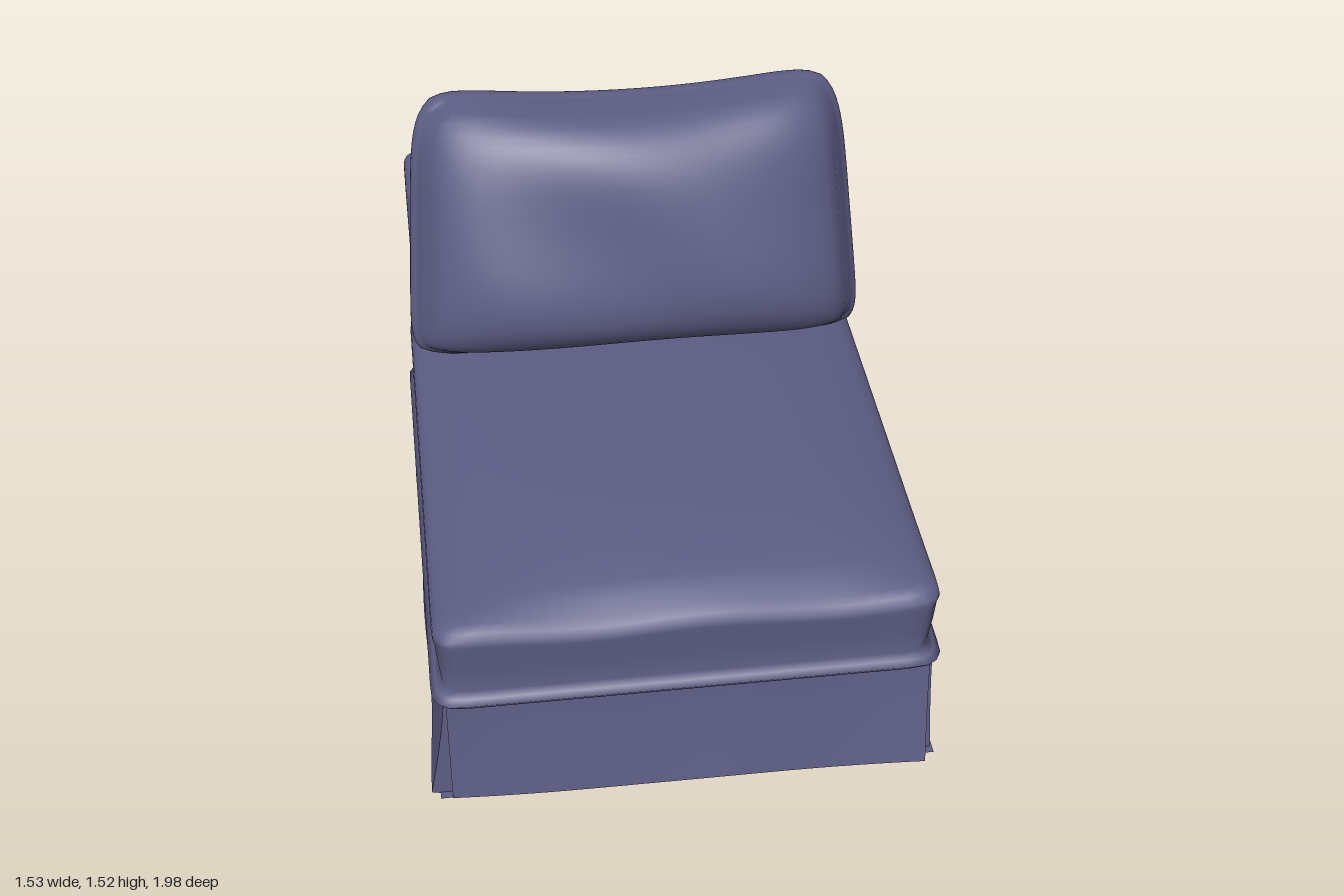
import * as THREE from 'three';
import { mergeVertices } from 'three/addons/utils/BufferGeometryUtils.js';
import { RoundedBoxGeometry } from 'three/addons/geometries/RoundedBoxGeometry.js';

const fabric = new THREE.MeshStandardMaterial({ color: 0x5e5e86 });

// Unit box (-1..1) reshaped by a rule; smooth boxes share vertices across all edges.
function shapedBox(name, segments, rule, smooth = true) {
  let geo = new THREE.BoxGeometry(2, 2, 2, ...segments);
  if (smooth) {
    geo.deleteAttribute('uv');
    geo.deleteAttribute('normal');
    geo = mergeVertices(geo);
  }
  const pos = geo.attributes.position;
  for (let i = 0; i < pos.count; i++) {
    pos.setXYZ(i, ...rule(pos.getX(i), pos.getY(i), pos.getZ(i)));
  }
  geo.computeVertexNormals();
  const mesh = new THREE.Mesh(geo, fabric);
  mesh.name = name;
  return mesh;
}

// Rounds the corner of a rectangle with half sizes hx, hz.
function roundCorner(a, b, hx, hz, r) {
  const x = a * hx, z = b * hz;
  const cx = THREE.MathUtils.clamp(x, r - hx, hx - r);
  const cz = THREE.MathUtils.clamp(z, r - hz, hz - r);
  const dx = x - cx, dz = z - cz, len = Math.hypot(dx, dz);
  const k = len > 0 ? Math.max(Math.abs(dx), Math.abs(dz)) / len : 1;
  return [cx + dx * k, cz + dz * k];
}

// Seat cushion: side profile as [inset, height] from bottom to top, with a soft crown.
function makeSeatCushion() {
  const profile = [
    [0.04, 0.395], [0.0, 0.405], [-0.015, 0.425], [0.0, 0.44], [0.018, 0.455], [0.01, 0.54],
    [0.005, 0.61], [0.0, 0.632], [0.003, 0.65], [0.018, 0.668], [0.045, 0.68],
  ];
  const levels = profile.length - 1;
  return shapedBox('seatCushion', [32, levels, 32], (a, t, b) => {
    const [inset, level] = profile[Math.round((t + 1) / 2 * levels)];
    const [x, z] = roundCorner(a, b, 0.725 - inset, 0.815 - inset, 0.07);
    let y = level;
    if (t > 0.99) y += 0.07 * (1 - Math.abs(a) ** 3.5) * Math.sqrt(1 - Math.abs(b) ** 3);
    if (t > 0) y += 0.008 * Math.sin(x * 9 + 1) * Math.max(0, b) ** 4;
    return [x - 0.005, y, z + 0.155];
  });
}

// Back pillow: thick in the middle, thin at the seams, with pulled corners.
function makePillow() {
  const pillow = shapedBox('backPillow', [36, 30, 8], (u, v, w) => {
    const puff = Math.sqrt((1 - Math.abs(u) ** 3.2) * (1 - Math.abs(v) ** 4));
    const half = 0.045 + 0.235 * puff;
    const halfWidth = 0.705 - 0.03 * v - 0.03 * Math.max(0, v) ** 4;
    const round = 1 - 0.035 * w * w;
    const x = u * halfWidth * round * (1 - 0.045 * v ** 8);
    let y = v * 0.41 * round;
    y += v > 0 ? 0.045 * v * v * u * u : -0.015 * v * v * u * u;
    y -= 0.035 * Math.abs(u) ** 12 * v ** 5;
    return [x, y, w * half + 0.012 * Math.sin(u * 5 + v * 3) * puff];
  });
  pillow.position.set(0, 1.1, -0.455);
  pillow.rotation.x = -0.29;
  return pillow;
}

// Skirt panel: flares outward towards a wavy hem; skew makes one end flare more.
function makeSkirtPanel(name, halfLength, distance, angle, skew) {
  const panel = shapedBox(name, [24, 8, 1], (a, t, side) => {
    const drop = (1 - t) / 2;
    const wave = 0.004 * Math.sin(a * 8 + skew * 30);
    const flare = drop ** 1.3 * (0.038 + skew * a ** 3 + wave);
    const hem = side > 0 ? 0.028 + wave : 0.004;
    const out = side > 0 ? flare : -0.05;
    return [a * halfLength, THREE.MathUtils.lerp(0.4, hem, drop), distance + out];
  }, false);
  panel.rotation.y = angle;
  return panel;
}

export function createModel() {
  const model = new THREE.Group();
  const add = (name, geometry, x, y, z) => {
    const mesh = new THREE.Mesh(geometry, fabric);
    mesh.name = name;
    mesh.position.set(x, y, z);
    model.add(mesh);
  };

  // Base, with a thin bottom plate closing the skirt
  add('base', new THREE.BoxGeometry(1.42, 0.39, 1.86), 0, 0.203, 0);
  model.add(shapedBox('bottomPlate', [1, 1, 1], (a, t, b) => [
    a * (t > 0 ? 0.74 : 0.69), t > 0 ? 0.028 : 0, b * (t > 0 ? 0.955 : 0.91),
  ], false));

  // Four skirt panels with open pleats at the corners
  model.add(makeSkirtPanel('frontSkirt', 0.705, 0.935, 0, 0.015));
  model.add(makeSkirtPanel('backSkirt', 0.705, 0.935, Math.PI, -0.015));
  model.add(makeSkirtPanel('leftSkirt', 0.93, 0.712, Math.PI / 2, 0.012));
  model.add(makeSkirtPanel('rightSkirt', 0.93, 0.712, -Math.PI / 2, 0.012));

  // Low backrest
  add('backrest', new RoundedBoxGeometry(1.42, 0.82, 0.262, 4, 0.04), 0, 0.705, -0.805);

  model.add(makeSeatCushion(), makePillow());
  return model;
}
